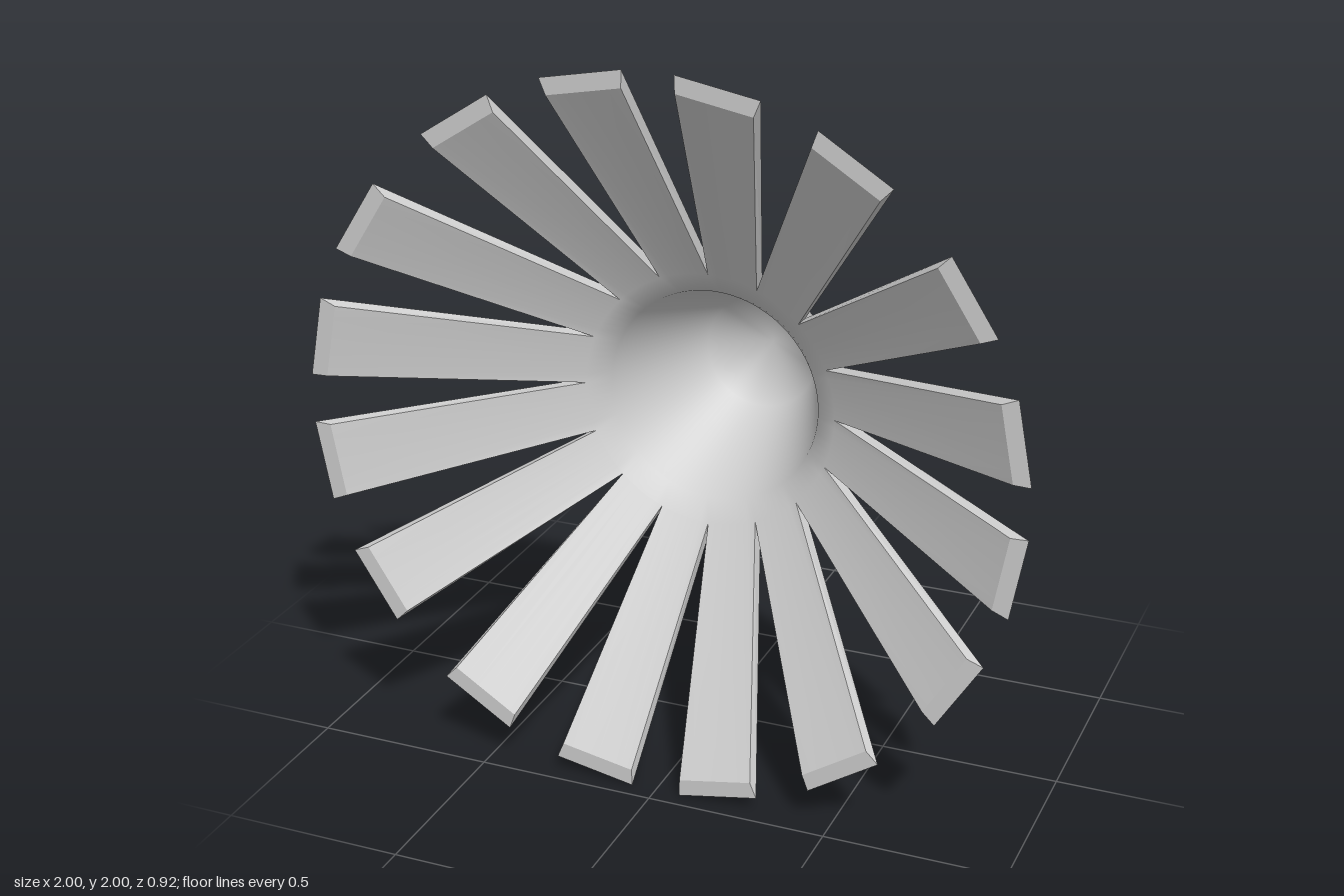
import * as THREE from 'three';
import { mergeVertices } from 'three/addons/utils/BufferGeometryUtils.js';

const RAD = Math.PI / 180;
const COLS = 6; // columns across one sector

// profiles as [radius, z]: apex, shoulder, fold, notch
const OUTER = { rings: [[0, -0.46], [0.19, -0.35], [0.335, 0.02], [0.376, 0.046]], tip: 0.996, half: 0.114, z: 0.455 };
const INNER = { rings: [[0, -0.42], [0.165, -0.33], [0.302, 0.035], [0.362, 0.074]], tip: 0.95, half: 0.104, z: 0.455 };
const LAST = OUTER.rings.length; // index of the tip row

// blade centre angles, slightly drawn towards the axes
const CENTRES = [];
for (let q = 0; q < 4; q++) for (const a of [10.5, 32.5, 57.5, 79.5]) CENTRES.push(a + 90 * q);

// grid point of sector k: row runs outwards, col runs across the blade
function point(profile, k, row, col) {
  const t = col / COLS;
  if (row < LAST) {
    const [r, z] = profile.rings[row];
    const a = ((k + t) % 16) * 22.5 * RAD;
    return [r * Math.cos(a), 1 + r * Math.sin(a), z];
  }
  const c = CENTRES[k] * RAD;
  const s = (2 * t - 1) * profile.half;
  return [
    profile.tip * Math.cos(c) - s * Math.sin(c),
    1 + profile.tip * Math.sin(c) + s * Math.cos(c),
    profile.z,
  ];
}

function toGeometry(positions) {
  const g = new THREE.BufferGeometry();
  g.setAttribute('position', new THREE.Float32BufferAttribute(positions, 3));
  return g;
}

// one smooth sheet: hub flowing into sixteen blades
function sheet(profile, facesFront) {
  const pos = [];
  const tri = (a, b, c) => pos.push(...a, ...(facesFront ? b : c), ...(facesFront ? c : b));
  for (let k = 0; k < 16; k++) {
    for (let row = 0; row < LAST; row++) {
      for (let col = 0; col < COLS; col++) {
        const a = point(profile, k, row, col);
        const b = point(profile, k, row + 1, col);
        const c = point(profile, k, row + 1, col + 1);
        const d = point(profile, k, row, col + 1);
        tri(a, b, c);
        if (row > 0) tri(a, c, d);
      }
    }
  }
  const g = mergeVertices(toGeometry(pos), 1e-4);
  g.computeVertexNormals();
  return g;
}

// thickness of the blades: both sides and the flat end
function edges() {
  const pos = [];
  for (let k = 0; k < 16; k++) {
    const path = [[LAST - 1, 0]];
    for (let col = 0; col <= COLS; col++) path.push([LAST, col]);
    path.push([LAST - 1, COLS]);
    for (let i = 0; i + 1 < path.length; i++) {
      const oa = point(OUTER, k, ...path[i]);
      const ob = point(OUTER, k, ...path[i + 1]);
      const ia = point(INNER, k, ...path[i]);
      const ib = point(INNER, k, ...path[i + 1]);
      pos.push(...oa, ...ob, ...ib, ...oa, ...ib, ...ia);
    }
  }
  const g = toGeometry(pos);
  g.computeVertexNormals();
  return g;
}

export function createModel() {
  const group = new THREE.Group();
  group.name = 'bladedCone';
  const material = new THREE.MeshStandardMaterial({ color: 0xcccccc });
  const add = (name, geometry) => {
    const mesh = new THREE.Mesh(geometry, material);
    mesh.name = name;
    group.add(mesh);
  };
  add('outerShell', sheet(OUTER, false));
  add('innerShell', sheet(INNER, true));
  add('bladeEdges', edges());
  return group;
}
